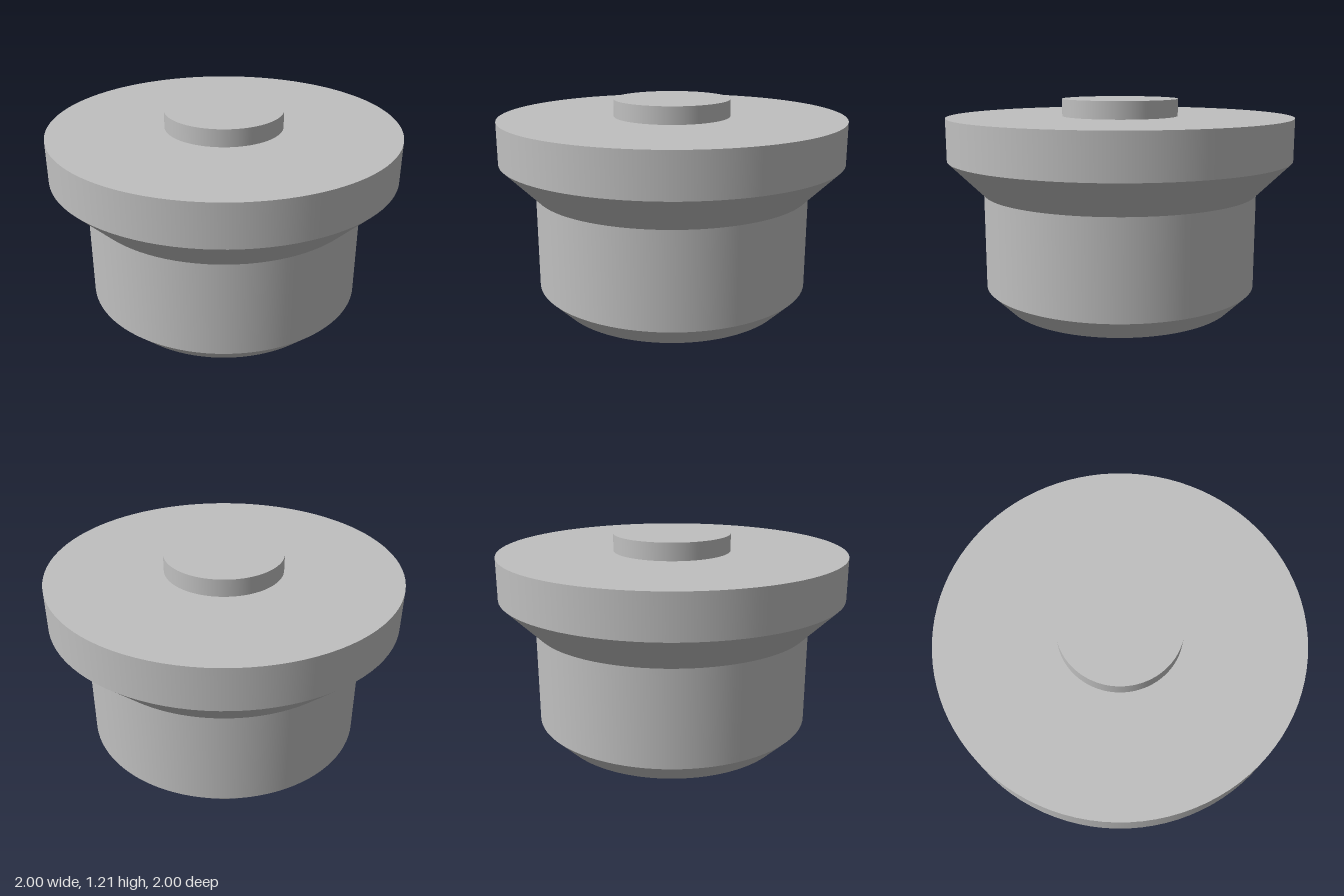
import * as THREE from 'three';

const SEGMENTS = 96;

export function createModel() {
  const model = new THREE.Group();
  model.name = 'flangedPlug';
  const grey = new THREE.MeshStandardMaterial({ color: 0xc0c0c0 });
  grey.name = 'plain grey';

  // One round section between two heights, with a crisp edge at each end
  const section = (name, y0, r0, y1, r1, open = true) => {
    const geometry = new THREE.CylinderGeometry(r1, r0, y1 - y0, SEGMENTS, 1, open);
    const mesh = new THREE.Mesh(geometry, grey);
    mesh.name = name;
    mesh.position.y = (y0 + y1) / 2;
    model.add(mesh);
  };

  // Flat face at a height, facing up or down
  const disc = (name, y, inner, outer, up) => {
    const geometry = inner > 0
      ? new THREE.RingGeometry(inner, outer, SEGMENTS)
      : new THREE.CircleGeometry(outer, SEGMENTS);
    // Start the rim on the same axis as the cylinder sections
    geometry.rotateX(up ? -Math.PI / 2 : Math.PI / 2);
    const mesh = new THREE.Mesh(geometry, grey);
    mesh.name = name;
    mesh.position.y = y;
    model.add(mesh);
  };

  // Body, from the bottom up
  disc('bottomFace', 0, 0, 0.68, false);
  section('bottomChamfer', 0, 0.68, 0.12, 0.8);
  section('body', 0.12, 0.8, 0.67, 0.8);
  section('flangeTaper', 0.67, 0.8, 0.87, 1);
  section('flangeRim', 0.87, 1, 1.11, 1);
  disc('flangeTop', 1.11, 0.338, 1, true);

  // Raised centre boss
  section('bossSide', 1.11, 0.338, 1.21, 0.338);
  disc('bossTop', 1.21, 0, 0.338, true);

  return model;
}
